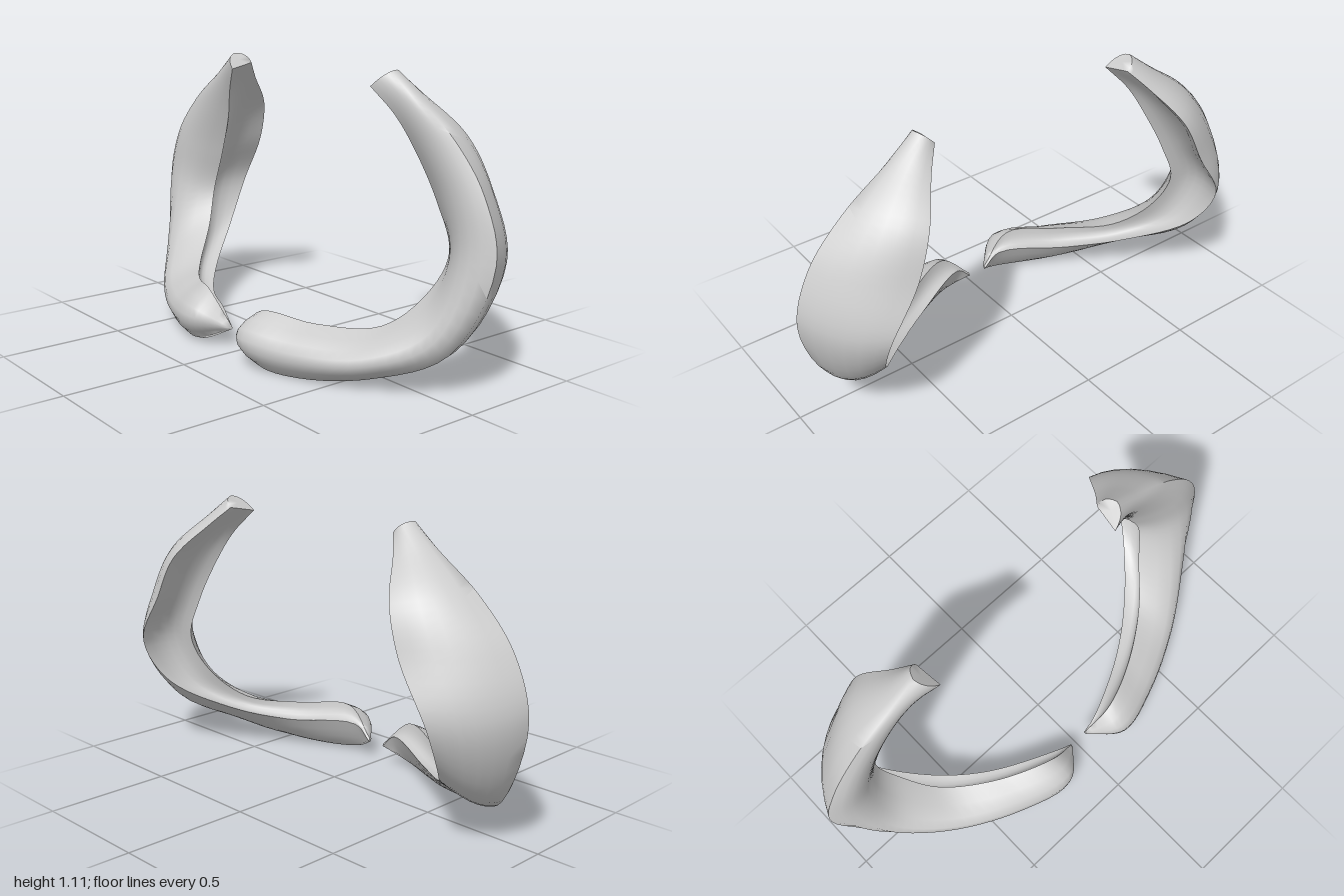
import * as THREE from 'three';
import { toCreasedNormals } from 'three/addons/utils/BufferGeometryUtils.js';

// Guide rails of one curved blade, from its low tip round to its top tip
const rails = {
  inner: [[-.25, .09, .04], [-.26, .207, .17], [-.17, .192, .38], [-.03, .207, .58], [.09, .33, .685],
    [.15, .48, .73], [.15, .65, .665], [.125, .82, .58], [.085, .95, .51], [.04, 1.05, .425]],
  band: [[-.265, .085, .045], [-.365, .12, .16], [-.31, .11, .38], [-.18, .13, .64], [-.037, .24, .82],
    [.052, .49, .87], [.07, .69, .82], [.08, .86, .7], [.075, 1, .57], [.06, 1.09, .47]],
  keel: [[-.26, .075, .045], [-.3, .01, .2], [-.25, 0, .38], [-.12, .042, .63], [.025, .16, .86],
    [.09, .5, 1], [.095, .72, .935], [.1, .89, .79], [.1, 1.02, .61], [.1, 1.11, .49]],
  wing: [[-.25, .075, .04], [-.28, .045, .12], [-.18, .035, .38], [-.02, .11, .62], [.14, .19, .82],
    [.25, .47, .91], [.265, .71, .82], [.245, .89, .71], [.17, 1.03, .56], [.14, 1.1, .47]],
  wingEdge: [[-.245, .08, .04], [-.235, .14, .11], [-.1, .13, .38], [.055, .172, .58], [.255, .3, .755],
    [.36, .49, .785], [.363, .7, .665], [.33, .87, .59], [.215, 1, .5], [.15, 1.07, .44]],
};

const STEPS = 54, SIDE = 6;

// Point on the parabola that passes through a, m (halfway) and b
function arc(a, m, b, t) {
  const c = m.clone().multiplyScalar(2).addScaledVector(a, -.5).addScaledVector(b, -.5);
  return a.clone().multiplyScalar((1 - t) ** 2).addScaledVector(c, 2 * t * (1 - t)).addScaledVector(b, t * t);
}

function bladeGeometry(side) {
  const curves = Object.values(rails).map(
    (r) => new THREE.CatmullRomCurve3(r.map((p) => new THREE.Vector3(...p)), false, 'centripetal'));
  const positions = [], index = [], ring = SIDE * 3;
  const push = (p) => positions.push(p.x, p.y, p.z * side) / 3 - 1;
  const tri = (a, b, c) => (side > 0 ? index.push(a, b, c) : index.push(a, c, b));

  // Three-sided sections: rounded band, outer wing and an inside that hollows between the tips
  for (let i = 0; i <= STEPS; i++) {
    const u = i / STEPS;
    const [inn, band, keel, wing, edge] = curves.map((c) => c.getPoint(u));
    const hollow = inn.clone().lerp(edge, .5).lerp(keel, .22 * Math.sin(Math.PI * u));
    for (const [a, m, b] of [[inn, band, keel], [keel, wing, edge], [edge, hollow, inn]])
      for (let j = 0; j < SIDE; j++) push(arc(a, m, b, j / SIDE));
  }
  for (let i = 0; i < STEPS; i++)
    for (let j = 0; j < ring; j++) {
      const k = (j + 1) % ring, a = i * ring, b = a + ring;
      tri(a + j, a + k, b + j);
      tri(a + k, b + k, b + j);
    }

  // End caps
  for (const end of [0, STEPS]) {
    const mid = new THREE.Vector3();
    for (const c of curves) mid.addScaledVector(c.getPoint(end / STEPS), 1 / curves.length);
    const centre = push(mid);
    for (let j = 0; j < ring; j++) {
      const a = end * ring + j, b = end * ring + (j + 1) % ring;
      if (end) tri(centre, a, b); else tri(centre, b, a);
    }
  }
  const geo = new THREE.BufferGeometry();
  geo.setAttribute('position', new THREE.Float32BufferAttribute(positions, 3));
  geo.setIndex(index);
  return toCreasedNormals(geo, 1.2);
}

export function createModel() {
  const group = new THREE.Group();
  group.name = 'curvedBladePair';
  const material = new THREE.MeshStandardMaterial({ color: 0xcccccc, side: THREE.DoubleSide });
  for (const [name, side] of [['frontBlade', 1], ['backBlade', -1]]) {
    const mesh = new THREE.Mesh(bladeGeometry(side), material);
    mesh.name = name;
    group.add(mesh);
  }
  return group;
}
